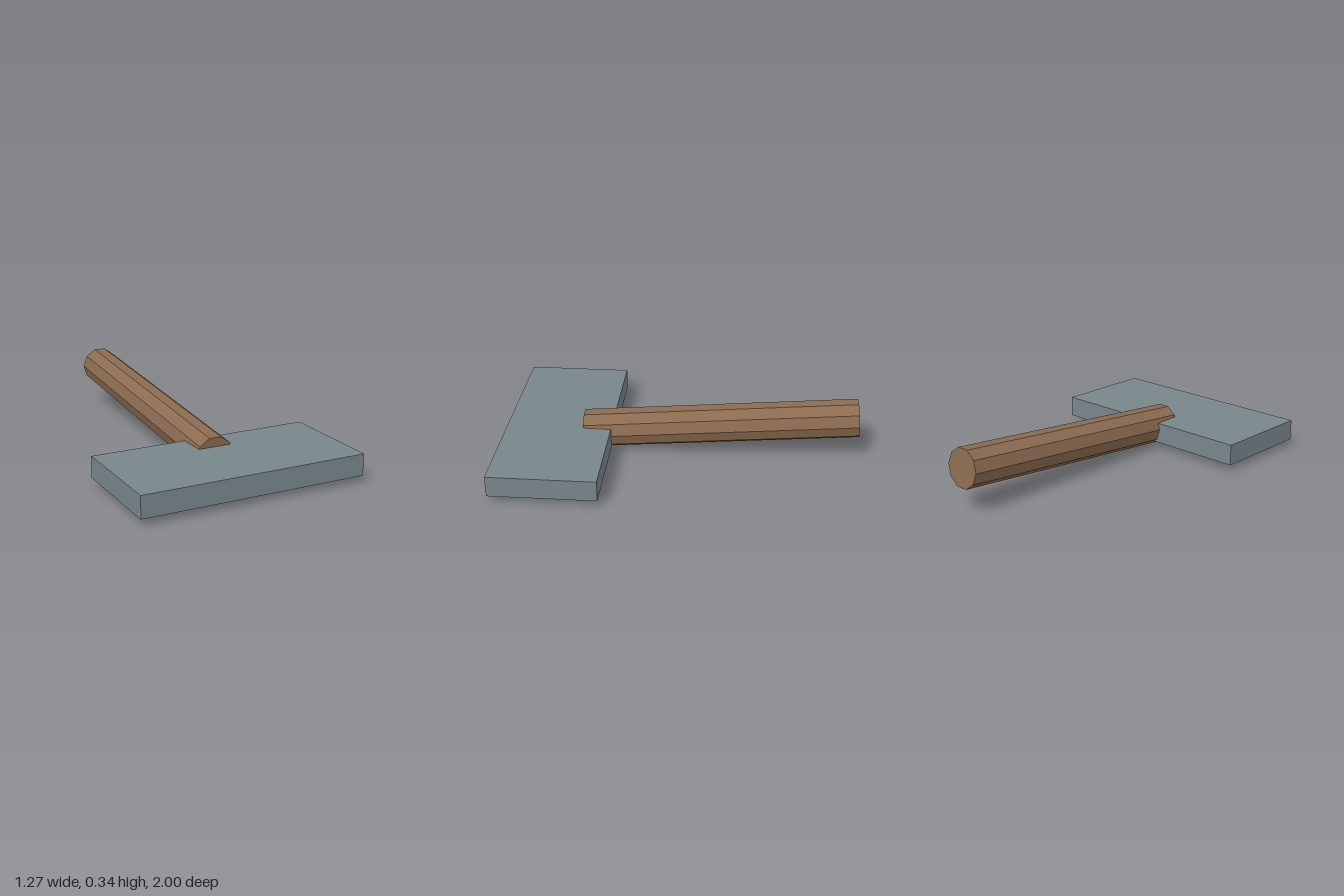
import * as THREE from 'three';

export function createModel() {
  const steel = new THREE.MeshStandardMaterial({ color: 0x78868b });
  steel.name = 'steel grey';
  const wood = new THREE.MeshStandardMaterial({ color: 0x8b6b50 });
  wood.name = 'wood brown';
  steel.flatShading = wood.flatShading = true;

  const model = new THREE.Group();
  model.name = 'mallet';

  // Flat slab head, lying across the front
  const head = new THREE.Mesh(new THREE.BoxGeometry(1.27, 0.12, 0.596), steel);
  head.name = 'head';
  head.position.set(0, 0.1, 0.702);

  // Ten-sided handle, rising five degrees towards the back
  const handle = new THREE.Mesh(
    new THREE.CylinderGeometry(0.11, 0.11, 1.553, 10, 1, false, Math.PI / 2), wood);
  handle.name = 'handle';
  handle.rotation.x = THREE.MathUtils.degToRad(95);
  handle.position.set(0, 0.176, -0.216);

  model.add(head, handle);
  return model;
}
